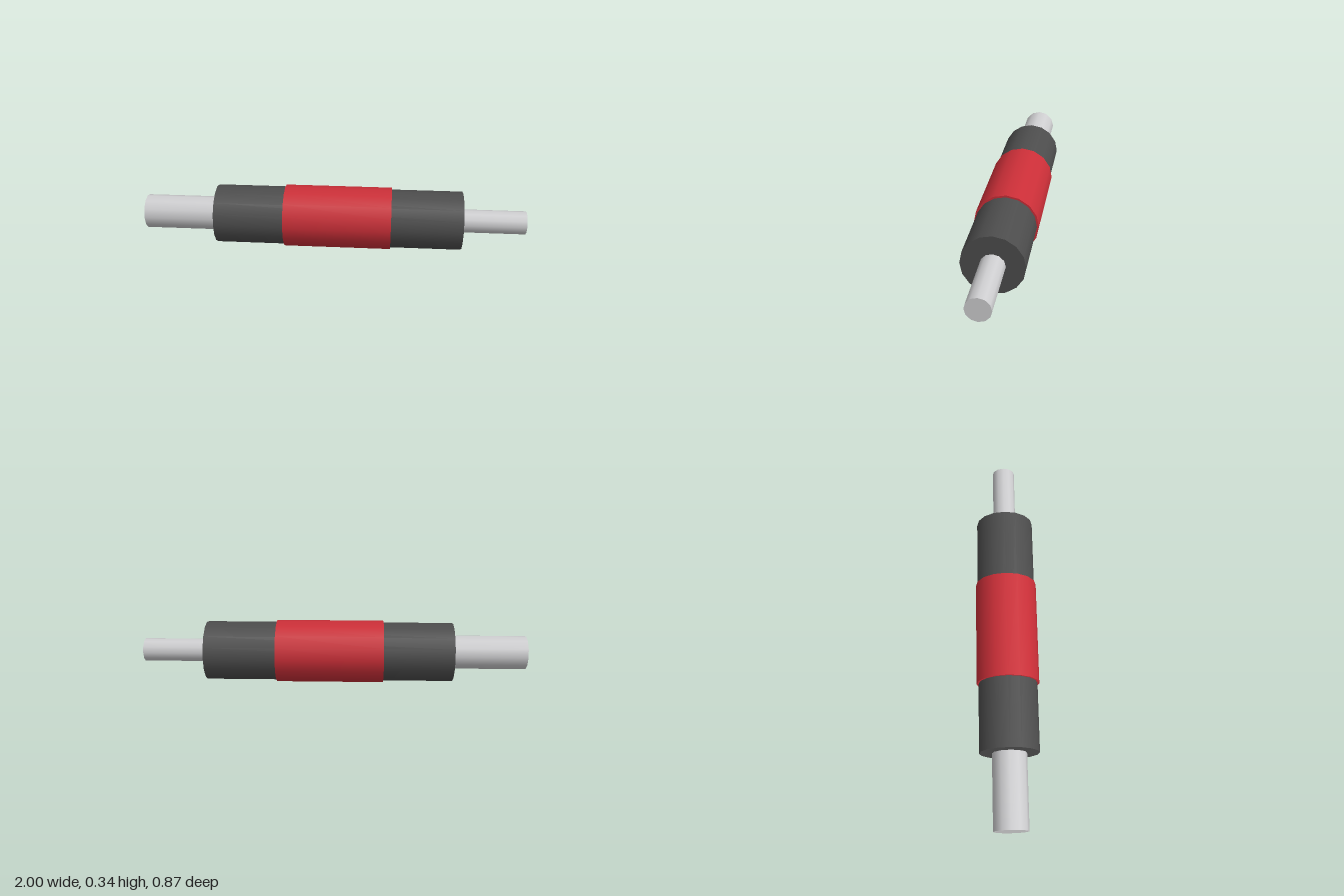
import * as THREE from 'three';

export function createModel() {
  const model = new THREE.Group();
  model.name = 'cylindricalRoller';

  const darkGrey = new THREE.MeshStandardMaterial({ color: 0x4d4d4d });
  darkGrey.name = 'dark grey';
  const red = new THREE.MeshStandardMaterial({ color: 0xcc2f38 });
  red.name = 'red';
  const silver = new THREE.MeshStandardMaterial({ color: 0xcfcfd1 });
  silver.name = 'silver';

  // All parts share one axis, turned in plan
  const axis = new THREE.Group();
  axis.name = 'axis';
  axis.position.set(0, 0.171, -0.011);
  axis.rotation.y = THREE.MathUtils.degToRad(20.4);
  model.add(axis);

  // Capped cylinder running from one distance along the axis to another
  function addCylinder(name, from, to, radius, sides, material) {
    const geometry = new THREE.CylinderGeometry(radius, radius, to - from, sides);
    geometry.rotateZ(-Math.PI / 2);
    geometry.translate((from + to) / 2, 0, 0);
    const mesh = new THREE.Mesh(geometry, material);
    mesh.name = name;
    axis.add(mesh);
  }

  addCylinder('body', -0.638, 0.70, 0.159, 16, darkGrey);
  addCylinder('centreBand', -0.262, 0.317, 0.169, 16, red);
  addCylinder('thickRod', -1.035, -0.60, 0.092, 12, silver);
  addCylinder('thinRod', 0.66, 1.045, 0.063, 12, silver);

  return model;
}
